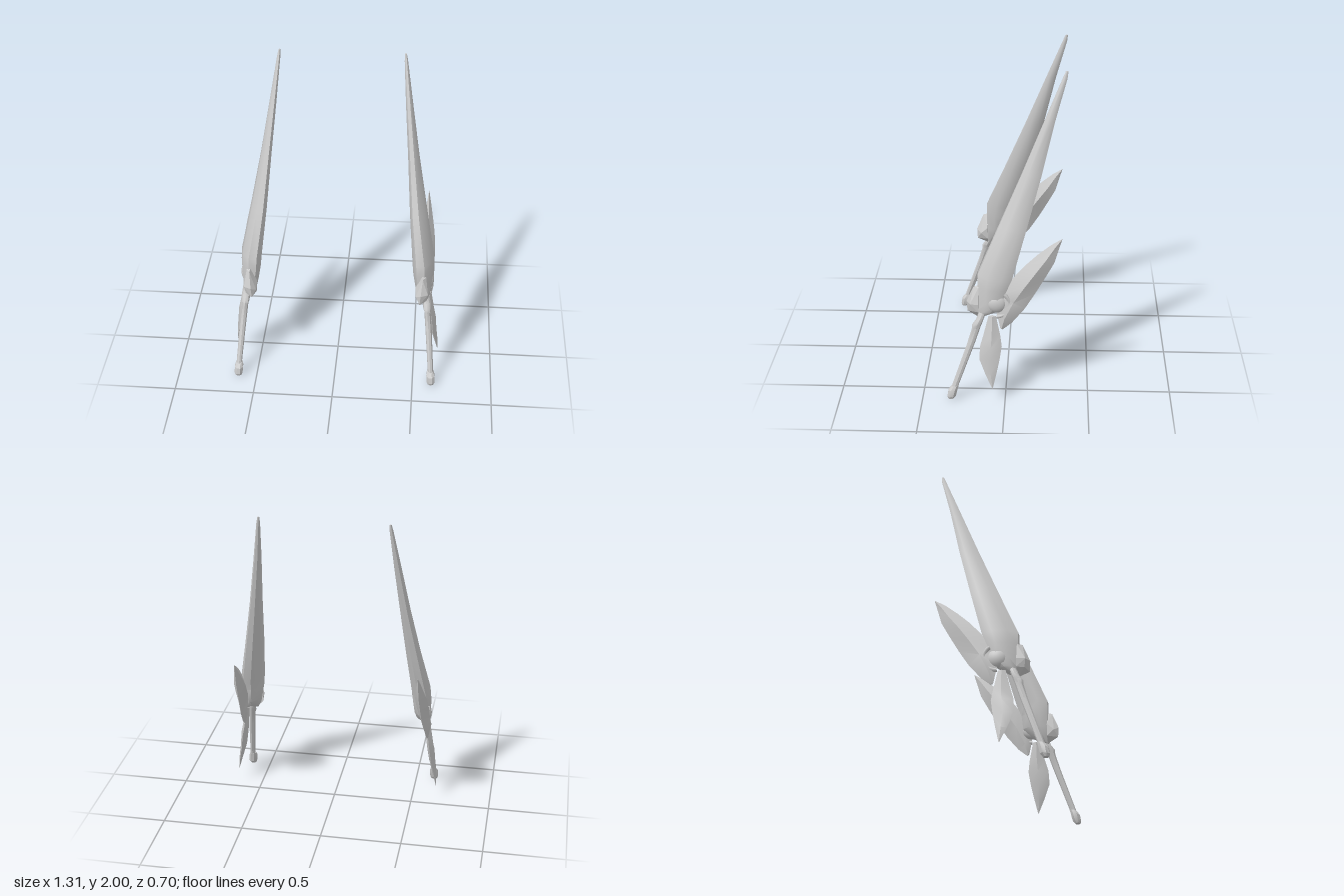
import * as THREE from 'three';
import { toCreasedNormals } from 'three/addons/utils/BufferGeometryUtils.js';
import { ConvexGeometry } from 'three/addons/geometries/ConvexGeometry.js';

const material = new THREE.MeshStandardMaterial({ color: 0xcccccc });

// Skin over closed cross-sections, listed bottom to top.
// Ring: [front edge x,y,z, back edge x,y,z, half thickness]; side mirrors x.
function loft(rings, n, side, flatEnds = false, crease = 0.7) {
  const pos = [], idx = [];
  const offset = flatEnds ? Math.PI / n : 0;
  const grow = flatEnds ? 1 / Math.cos(offset) : 1;
  for (const [ax, ay, az, bx, by, bz, t] of rings) {
    for (let j = 0; j < n; j++) {
      const a = offset + (j / n) * Math.PI * 2;
      const c = (Math.cos(a) * grow) / 2, s = Math.sin(a) * grow * t;
      pos.push(
        side * ((ax + bx) / 2 + (ax - bx) * c + s),
        (ay + by) / 2 + (ay - by) * c,
        (az + bz) / 2 + (az - bz) * c
      );
    }
  }
  for (let i = 0; i < rings.length - 1; i++) {
    for (let j = 0; j < n; j++) {
      const a = i * n + j, b = i * n + ((j + 1) % n);
      idx.push(a, b, b + n, a, b + n, a + n);
    }
  }
  const top = (rings.length - 1) * n;
  for (let j = 1; j < n - 1; j++) idx.push(0, j + 1, j, top, top + j, top + j + 1);
  if (side < 0) idx.reverse();
  const g = new THREE.BufferGeometry();
  g.setAttribute('position', new THREE.Float32BufferAttribute(pos, 3));
  g.setIndex(idx);
  return toCreasedNormals(g, crease);
}

const blade = [
  [0.545, 0.52, 0.165, 0.545, 0.535, 0.125, 0.015],
  [0.54, 0.57, 0.165, 0.56, 0.57, 0.06, 0.04],
  [0.535, 0.63, 0.165, 0.56, 0.63, 0.0, 0.05],
  [0.525, 0.72, 0.165, 0.56, 0.72, -0.01, 0.058],
  [0.52, 0.8, 0.165, 0.555, 0.79, -0.04, 0.06],
  [0.48, 1.08, 0.045, 0.51, 1.08, -0.12, 0.046],
  [0.445, 1.4, -0.09, 0.46, 1.4, -0.205, 0.031],
  [0.41, 1.72, -0.22, 0.415, 1.72, -0.28, 0.02],
  [0.384, 1.96, -0.318, 0.384, 1.96, -0.345, 0.01],
  [0.38, 2.0, -0.335, 0.38, 2.0, -0.35, 0.005],
];

const backFin = [
  [0.59, 0.475, 0.03, 0.59, 0.465, 0.015, 0.006],
  [0.588, 0.57, 0.05, 0.588, 0.51, -0.04, 0.02],
  [0.58, 0.7, 0.02, 0.58, 0.6, -0.115, 0.03],
  [0.57, 0.795, -0.045, 0.57, 0.695, -0.175, 0.038],
  [0.565, 0.875, -0.115, 0.565, 0.79, -0.23, 0.037],
  [0.56, 0.945, -0.19, 0.56, 0.89, -0.285, 0.025],
  [0.558, 1.005, -0.265, 0.558, 0.975, -0.31, 0.012],
  [0.556, 1.045, -0.33, 0.556, 1.04, -0.33, 0.001],
];

const lowerFin = [
  [0.652, 0.095, 0.077, 0.652, 0.095, 0.073, 0.001],
  [0.638, 0.185, 0.118, 0.638, 0.185, 0.052, 0.012],
  [0.62, 0.275, 0.154, 0.62, 0.275, 0.033, 0.02],
  [0.61, 0.36, 0.15, 0.61, 0.36, 0.02, 0.023],
  [0.598, 0.43, 0.13, 0.598, 0.43, 0.03, 0.02],
  [0.585, 0.55, 0.1, 0.585, 0.55, 0.055, 0.012],
];

const handle = [
  [0.616, 0.05, 0.335, 0.616, 0.07, 0.29, 0.017],
  [0.588, 0.36, 0.23, 0.588, 0.375, 0.18, 0.02],
  [0.577, 0.46, 0.2, 0.577, 0.475, 0.147, 0.02],
  [0.575, 0.485, 0.2, 0.575, 0.5, 0.137, 0.026],
  [0.57, 0.52, 0.175, 0.57, 0.535, 0.125, 0.024],
  [0.565, 0.56, 0.16, 0.565, 0.57, 0.115, 0.018],
];

const pommel = [
  [0.617, 0.005, 0.345, 0.617, 0.003, 0.315, 0.018],
  [0.617, 0.02, 0.35, 0.617, 0.025, 0.298, 0.025],
  [0.614, 0.06, 0.343, 0.614, 0.07, 0.287, 0.026],
  [0.612, 0.085, 0.325, 0.612, 0.095, 0.28, 0.019],
];

// Faceted guard block: back outline on the blade, smaller raised front
const guard = [
  [0.535, 0.73, 0.16], [0.56, 0.72, 0.16], [0.585, 0.62, 0.16], [0.58, 0.57, 0.16],
  [0.54, 0.52, 0.16], [0.5, 0.56, 0.16], [0.497, 0.64, 0.16],
  [0.54, 0.72, 0.19], [0.575, 0.62, 0.21], [0.565, 0.57, 0.205],
  [0.5, 0.6, 0.205], [0.53, 0.62, 0.232], [0.525, 0.555, 0.228],
];

function createSword(side) {
  const sword = new THREE.Group();
  sword.name = side > 0 ? 'leftSword' : 'rightSword';
  const add = (name, geometry) => {
    const mesh = new THREE.Mesh(geometry, material);
    mesh.name = name;
    sword.add(mesh);
    return mesh;
  };
  add('blade', loft(blade, 8, side, true, 0.85));
  add('backFin', loft(backFin, 4, side));
  add('lowerFin', loft(lowerFin, 4, side));
  add('handle', loft(handle, 8, side));
  add('pommel', loft(pommel, 8, side, true, 0.4));
  add('guard', new ConvexGeometry(guard.map(([x, y, z]) => new THREE.Vector3(x * side, y, z))));

  // Round pivot boss with a crescent collar behind it
  const hub = add('hub', new THREE.SphereGeometry(0.06, 20, 12));
  hub.scale.x = 0.6;
  hub.position.set(side * 0.575, 0.63, 0.05);
  const collarGeometry = new THREE.TorusGeometry(0.078, 0.013, 6, 18, 2.6);
  collarGeometry.rotateZ(-1.6).rotateY(Math.PI / 2);
  const collar = add('collar', collarGeometry);
  collar.position.set(side * 0.592, 0.63, 0.05);
  return sword;
}

export function createModel() {
  const model = new THREE.Group();
  model.name = 'pairedSwords';
  for (const side of [1, -1]) model.add(createSword(side));
  return model;
}
